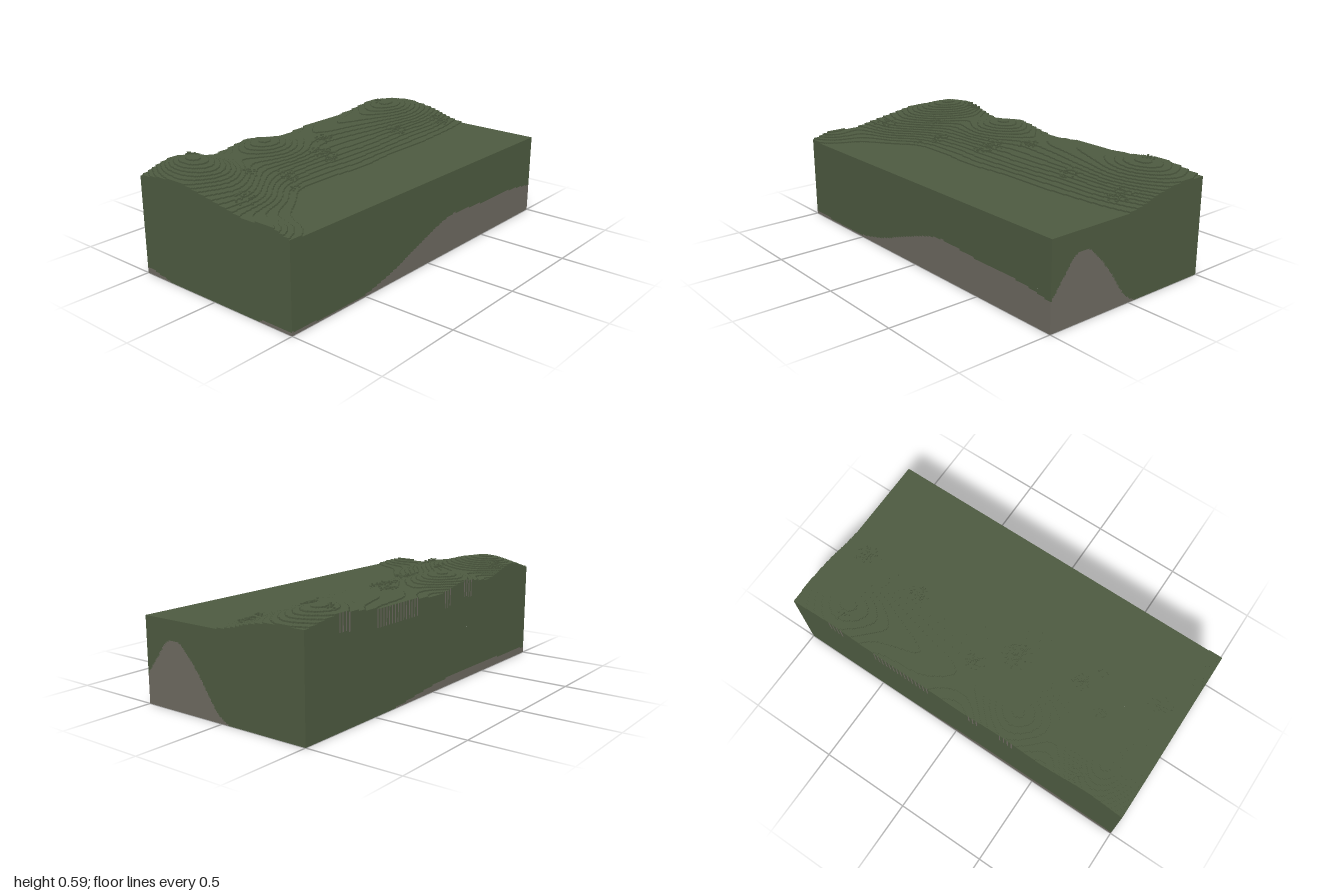
import * as THREE from 'three';
import { mergeGeometries } from 'three/addons/utils/BufferGeometryUtils.js';

const V = 1 / 128; // edge of one block
const NX = 128, NZ = 256;
const PLAIN = 57; // height of the flat meadow, in blocks

// smooth curve through values at uneven stations
function curve(stations, values, t) {
  const n = stations.length;
  let i = 0;
  while (i < n - 2 && t > stations[i + 1]) i++;
  const slope = k => {
    const a = Math.max(k - 1, 0), b = Math.min(k + 1, n - 1);
    return (values[b] - values[a]) / (stations[b] - stations[a]);
  };
  const w = stations[i + 1] - stations[i];
  const s = Math.min(Math.max((t - stations[i]) / w, 0), 1);
  const s2 = s * s, s3 = s2 * s;
  return (2 * s3 - 3 * s2 + 1) * values[i] + (s3 - 2 * s2 + s) * w * slope(i)
    + (3 * s2 - 2 * s3) * values[i + 1] + (s3 - s2) * w * slope(i + 1);
}

// hill heights: one row per z station, one column per x station
const XS = [-0.5, -0.35, -0.2, -0.05, 0.1, 0.22, 0.38, 0.5];
const ZS = [-1, -0.75, -0.5, -0.2, 0.05, 0.3, 0.55, 0.8, 1];
const HILLS = [
  [0.515, 0.520, 0.500, 0.460, 0.440, 0.44, 0.44, 0.44],
  [0.545, 0.560, 0.525, 0.475, 0.442, 0.44, 0.44, 0.44],
  [0.520, 0.535, 0.515, 0.475, 0.446, 0.44, 0.44, 0.44],
  [0.515, 0.525, 0.505, 0.480, 0.446, 0.44, 0.44, 0.44],
  [0.500, 0.520, 0.505, 0.480, 0.450, 0.44, 0.44, 0.44],
  [0.535, 0.560, 0.530, 0.480, 0.447, 0.44, 0.44, 0.44],
  [0.510, 0.530, 0.520, 0.490, 0.452, 0.44, 0.44, 0.44],
  [0.560, 0.592, 0.572, 0.532, 0.495, 0.46, 0.445, 0.44],
  [0.515, 0.538, 0.545, 0.522, 0.498, 0.478, 0.485, 0.455],
];

// top of the rock layer on each outer wall: [stations, heights]
const ROCK = {
  front: [[-0.5, -0.45, -0.4, -0.35, -0.3, 0.29, 0.32, 0.5], [0.034, 0.03, 0.018, 0.01, 0, 0, 0.014, 0.016]],
  back: [[-0.5, -0.06, 0, 0.05, 0.15, 0.25, 0.31, 0.36, 0.43, 0.5], [0, 0, 0.025, 0.075, 0.215, 0.325, 0.347, 0.33, 0.245, 0.155]],
  right: [[-1, -0.8, -0.5, -0.3, -0.2, -0.1, 0.1, 0.3, 0.5, 0.6, 0.8, 1], [0.155, 0.182, 0.19, 0.204, 0.206, 0.186, 0.122, 0.055, 0.012, 0.005, 0.01, 0.02]],
  left: [[-1, -0.4, 0, 0.3, 0.6, 1], [0, 0, 0.035, 0.05, 0.045, 0.034]],
};

// shrub clusters: x, z, radius, number of blocks
const SHRUBS = [
  [-0.07, -0.85, 0.07, 45], [-0.42, -0.72, 0.035, 10], [-0.1, -0.48, 0.065, 45],
  [-0.24, -0.03, 0.055, 45], [-0.09, 0.12, 0.085, 70], [-0.02, 0.47, 0.06, 40],
  [0.09, 0.52, 0.04, 8], [-0.12, 0.64, 0.04, 14], [-0.45, 0.71, 0.045, 28], [0.08, 0.87, 0.07, 25],
];

function buildGeometry(positions) {
  const g = new THREE.BufferGeometry();
  g.setAttribute('position', new THREE.Float32BufferAttribute(positions, 3));
  g.computeVertexNormals();
  return g;
}

export function createModel() {
  const group = new THREE.Group();
  const grass = new THREE.MeshStandardMaterial({ color: 0x4d5a40 });
  grass.name = 'grass green';
  const stone = new THREE.MeshStandardMaterial({ color: 0x6d6960 });
  stone.name = 'stone grey';
  const add = (name, geometry, material) => {
    const mesh = new THREE.Mesh(geometry, material);
    mesh.name = name;
    group.add(mesh);
  };

  const X = i => i * V - 0.5, Z = j => j * V - 1;
  const quad = (out, a, b, c, d) => out.push(...a, ...b, ...c, ...a, ...c, ...d);
  // upright face; seen from outside, a is its left end and b its right end
  const wall = (out, ax, az, bx, bz, y0, y1) => {
    if (y1 > y0) quad(out, [ax, y0, az], [bx, y0, bz], [bx, y1, bz], [ax, y1, az]);
  };

  // block heights
  const H = [];
  for (let i = 0; i < NX; i++) {
    H.push([]);
    const column = HILLS.map(row => curve(XS, row, X(i + 0.5)));
    for (let j = 0; j < NZ; j++) {
      H[i].push(Math.max(PLAIN, Math.round(curve(ZS, column, Z(j + 0.5)) / V)));
    }
  }

  // terraced ground: tops merged in runs, plus the risers between blocks
  const tops = [], risers = [];
  for (let i = 0; i < NX; i++) {
    const x0 = X(i), x1 = X(i + 1);
    for (let j = 0, start = 0; j < NZ; j++) {
      const h = H[i][j], y = h * V, z0 = Z(j), z1 = Z(j + 1);
      if (j === NZ - 1 || H[i][j + 1] !== h) {
        quad(tops, [x0, y, z1], [x1, y, z1], [x1, y, Z(start)], [x0, y, Z(start)]);
        start = j + 1;
      }
      if (i < NX - 1) {
        const n = H[i + 1][j] * V;
        wall(risers, x1, z1, x1, z0, n, y);
        wall(risers, x1, z0, x1, z1, y, n);
      }
      if (j < NZ - 1) {
        const n = H[i][j + 1] * V;
        wall(risers, x0, z1, x1, z1, n, y);
        wall(risers, x1, z1, x0, z1, y, n);
      }
    }
  }
  add('terracedGround', buildGeometry(tops), grass);
  add('terraceRisers', buildGeometry(risers), grass);

  // outer walls: rock below, grass above
  const soil = [], rock = [], streaks = [];
  const side = (name, t, ax, az, bx, bz, h, streak) => {
    const r = Math.max(0, Math.round(curve(...ROCK[name], t) / V)) * V;
    const s = streak ? h - 0.09 : h;
    wall(rock, ax, az, bx, bz, 0, r);
    wall(soil, ax, az, bx, bz, r, s);
    wall(streaks, ax, az, bx, bz, s, h);
  };
  for (let i = 0; i < NX; i++) {
    const x0 = X(i), x1 = X(i + 1), t = X(i + 0.5);
    side('front', t, x0, 1, x1, 1, H[i][NZ - 1] * V);
    side('back', t, x1, -1, x0, -1, H[i][0] * V);
  }
  const streakRanges = [[-0.77, -0.68], [-0.5, -0.13], [0.1, 0.17], [0.28, 0.37]];
  for (let j = 0; j < NZ; j++) {
    const z0 = Z(j), z1 = Z(j + 1), t = Z(j + 0.5);
    const streak = j % 3 === 0 && streakRanges.some(([a, b]) => t > a && t < b);
    side('right', t, 0.5, z1, 0.5, z0, H[NX - 1][j] * V);
    side('left', t, -0.5, z0, -0.5, z1, H[0][j] * V, streak);
  }
  add('grassWalls', buildGeometry(soil), grass);
  add('rockLayer', buildGeometry(rock), stone);
  add('rockStreaks', buildGeometry(streaks), stone);

  // underside
  const base = new THREE.PlaneGeometry(1, 2);
  base.rotateX(Math.PI / 2);
  add('underside', base, stone);

  // shrubs: loose blocks scattered on the ground
  let seed = 7;
  const random = () => (seed = (seed * 16807) % 2147483647) / 2147483647;
  const blocks = [];
  for (const [cx, cz, radius, count] of SHRUBS) {
    for (let k = 0; k < count; k++) {
      const angle = random() * Math.PI * 2, d = radius * random();
      const i = Math.min(NX - 1, Math.max(0, Math.floor((cx + d * Math.cos(angle) + 0.5) / V)));
      const j = Math.min(NZ - 1, Math.max(0, Math.floor((cz + d * Math.sin(angle) + 1) / V)));
      const lift = Math.floor(random() * 2.3 * (1 - d / radius) + random());
      const block = new THREE.BoxGeometry(V, V, V);
      block.translate(X(i + 0.5), (H[i][j] + lift + 0.5) * V, Z(j + 0.5));
      blocks.push(block);
    }
  }
  add('shrubs', mergeGeometries(blocks), grass);

  return group;
}
